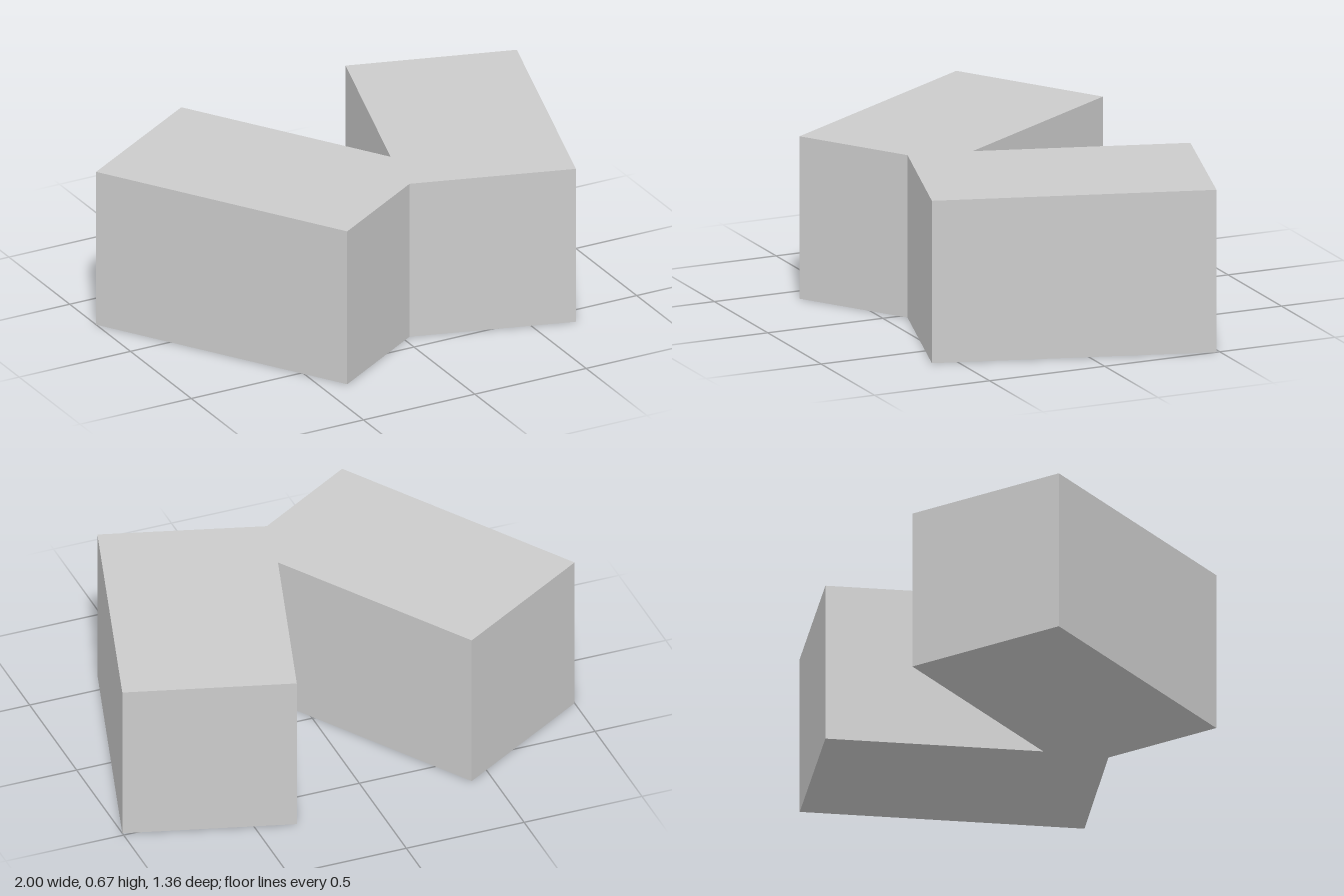
import * as THREE from 'three';

// Floor plan of two angled blocks meeting at the front, as [x, z] corners
const PLAN = [
  [-1, -0.283], [-0.417, -0.65], [0.086, 0.15], [0.337, -0.68],
  [1, -0.486], [0.673, 0.599], [0.031, 0.407], [-0.397, 0.678],
];
const HEIGHT = 0.665;

export function createModel() {
  const group = new THREE.Group();
  group.name = 'angledBlocks';

  // Plan drawn with y = -z, extruded, then laid flat so it rises along +y
  const shape = new THREE.Shape(PLAN.map(([x, z]) => new THREE.Vector2(x, -z)));
  const geometry = new THREE.ExtrudeGeometry(shape, { depth: HEIGHT, bevelEnabled: false });
  geometry.rotateX(-Math.PI / 2);

  const material = new THREE.MeshStandardMaterial({ color: 0xcccccc, flatShading: true });
  const body = new THREE.Mesh(geometry, material);
  body.name = 'joinedWings';
  group.add(body);
  return group;
}
